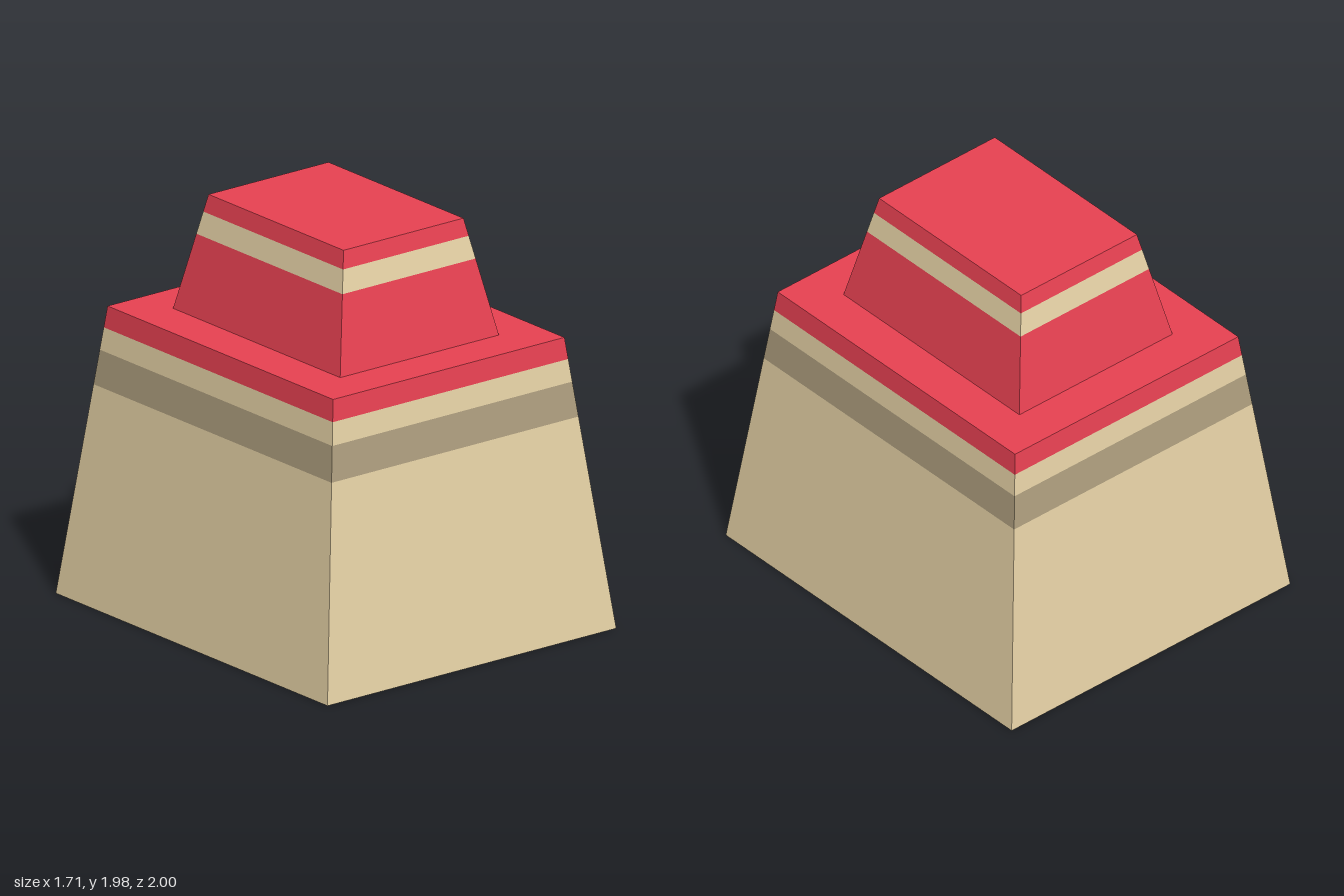
import * as THREE from 'three';

const CREAM = 0xe6d2a6, TAUPE = 0xae9e7e, RED = 0xe84152;

// Four-sided tapered band between two rectangles, with optional end caps
function bandGeometry(lower, upper, capBottom, capTop) {
  const ring = ({ x, y, z }) => [[-x, y, z], [x, y, z], [x, y, -z], [-x, y, -z]];
  const a = ring(lower), b = ring(upper), pos = [];
  const quad = (p, q, r, s) => pos.push(...p, ...q, ...r, ...p, ...r, ...s);
  for (let i = 0; i < 4; i++) {
    const j = (i + 1) % 4;
    quad(a[i], a[j], b[j], b[i]);
  }
  if (capTop) quad(...b);
  if (capBottom) quad(a[3], a[2], a[1], a[0]);
  const g = new THREE.BufferGeometry();
  g.setAttribute('position', new THREE.Float32BufferAttribute(pos, 3));
  g.computeVertexNormals();
  return g;
}

// Stack of coloured bands following one straight taper
function taperedBlock(name, bottom, top, bands, capBottom) {
  const group = new THREE.Group();
  group.name = name;
  const at = (y) => {
    const t = (y - bottom.y) / (top.y - bottom.y);
    return {
      x: THREE.MathUtils.lerp(bottom.x, top.x, t), y,
      z: THREE.MathUtils.lerp(bottom.z, top.z, t),
    };
  };
  let y = bottom.y;
  bands.forEach(([bandName, yTop, color], i) => {
    const geometry = bandGeometry(at(y), at(yTop), capBottom && i === 0, i === bands.length - 1);
    const mesh = new THREE.Mesh(geometry, new THREE.MeshStandardMaterial({ color, flatShading: true }));
    mesh.name = bandName;
    group.add(mesh);
    y = yTop;
  });
  return group;
}

export function createModel() {
  const model = new THREE.Group();
  model.name = 'steppedTower';

  // Wide lower block with a flat red ledge
  model.add(taperedBlock('lowerBlock',
    { x: 0.855, y: 0, z: 1 }, { x: 0.685, y: 1.415, z: 0.83 },
    [['lowerWall', 1.03, CREAM], ['darkBand', 1.2, TAUPE], ['lightBand', 1.31, CREAM], ['ledge', 1.415, RED]],
    true));

  // Narrow upper block with a flat red roof
  model.add(taperedBlock('upperBlock',
    { x: 0.47, y: 1.415, z: 0.615 }, { x: 0.355, y: 1.98, z: 0.497 },
    [['upperWall', 1.785, RED], ['upperLightBand', 1.895, CREAM], ['roof', 1.98, RED]],
    false));

  return model;
}
